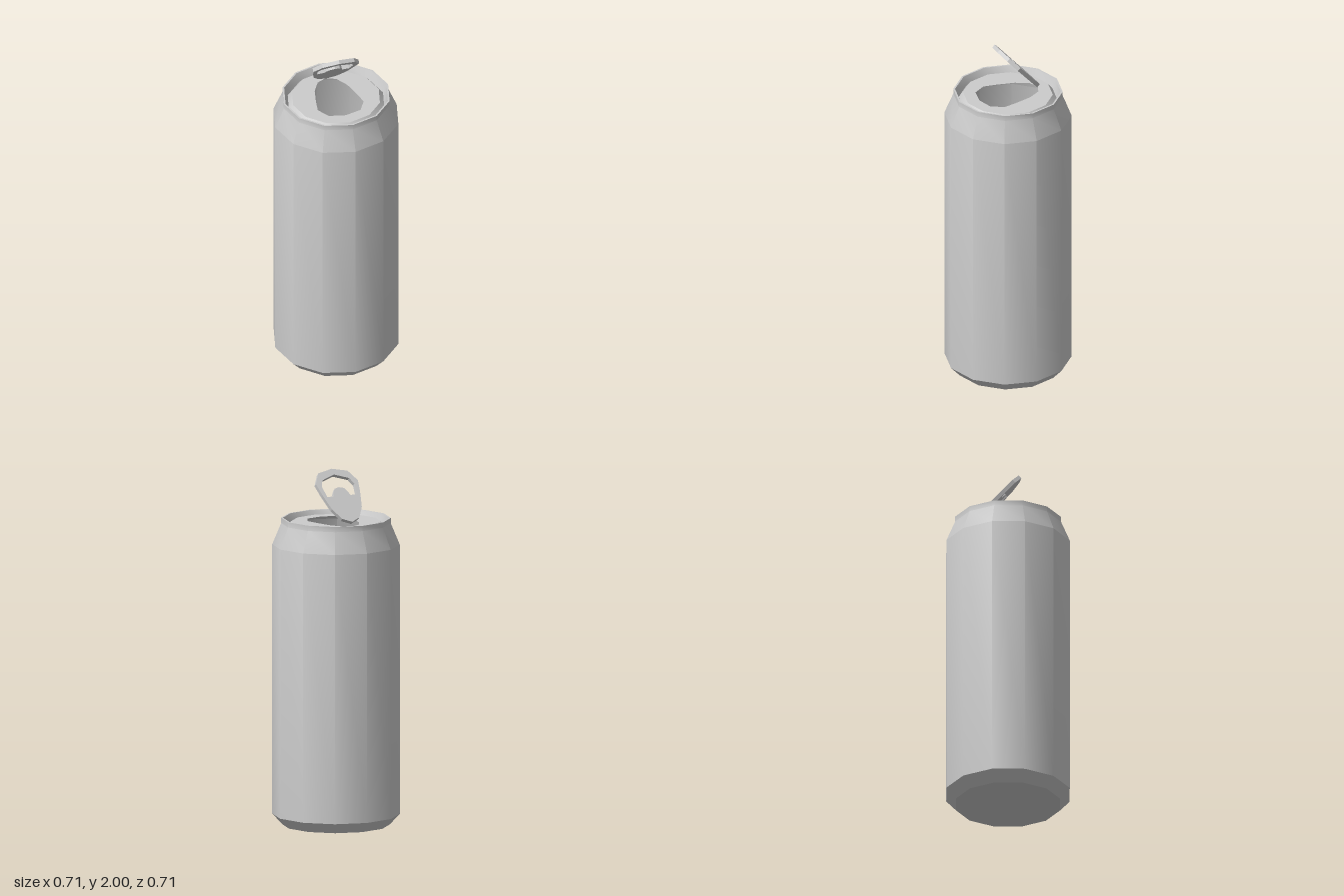
import * as THREE from 'three';
import { toCreasedNormals } from 'three/addons/utils/BufferGeometryUtils.js';

const SIDES = 12;
const LID_Y = 1.71;
const TAB_BACK = -0.187; // z of the tab's hinge end

// Half outlines as [x, distance from the hinge end], mirrored to close the loop
const TAB_HALF = [[0, 0], [0.055, 0.025], [0.095, 0.093], [0.12, 0.19], [0.134, 0.265], [0.093, 0.333], [0, 0.355]];
const FINGER_HALF = [[0, 0.232], [0.03, 0.224], [0.045, 0.2], [0.053, 0.175], [0.094, 0.175], [0.104, 0.245], [0.085, 0.285], [0, 0.316]];

function mirrored(half) {
  const left = half.slice(1, -1).reverse().map(([x, u]) => [-x, u]);
  return [...half, ...left].map(([x, u]) => new THREE.Vector2(x, u));
}

export function createModel() {
  const group = new THREE.Group();
  const material = new THREE.MeshStandardMaterial({ color: 0xcccccc, side: THREE.DoubleSide });
  const add = (name, geometry) => {
    const mesh = new THREE.Mesh(geometry, material);
    mesh.name = name;
    group.add(mesh);
    return mesh;
  };

  // Shell: bottom chamfer, wall, shoulder, rim and the groove around the lid
  const profile = [
    [0.3, 0], [0.355, 0.06], [0.355, 1.58], [0.305, 1.7],
    [0.305, 1.73], [0.295, 1.73], [0.275, 1.68], [0.25, LID_Y],
  ].map(([r, y]) => new THREE.Vector2(r, y));
  add('body', toCreasedNormals(new THREE.LatheGeometry(profile, SIDES), THREE.MathUtils.degToRad(35)));

  // Flat base
  add('base', new THREE.CircleGeometry(0.3, SIDES).rotateX(Math.PI / 2));

  // Lid panel with the opening cut through it
  const lidShape = new THREE.Shape();
  for (let i = 0; i < SIDES; i++) {
    const a = (i / SIDES) * Math.PI * 2;
    lidShape[i ? 'lineTo' : 'moveTo'](0.25 * Math.cos(a), 0.25 * Math.sin(a));
  }
  lidShape.closePath();
  const opening = mirrored(TAB_HALF).map((p) => new THREE.Vector2(p.x, -(TAB_BACK + p.y * 1.03)));
  lidShape.holes.push(new THREE.Path(opening));
  add('lid', new THREE.ShapeGeometry(lidShape).rotateX(-Math.PI / 2).translate(0, LID_Y, 0));

  // Raised pull tab with a finger hole, leaning forward from its hinge end
  const tabShape = new THREE.Shape(mirrored(TAB_HALF));
  tabShape.holes.push(new THREE.Path(mirrored(FINGER_HALF)));
  const tab = add('pullTab', new THREE.ExtrudeGeometry(tabShape, { depth: 0.022, bevelEnabled: false }));
  tab.position.set(0, 1.735, TAB_BACK);
  tab.rotation.x = 0.73;

  return group;
}
